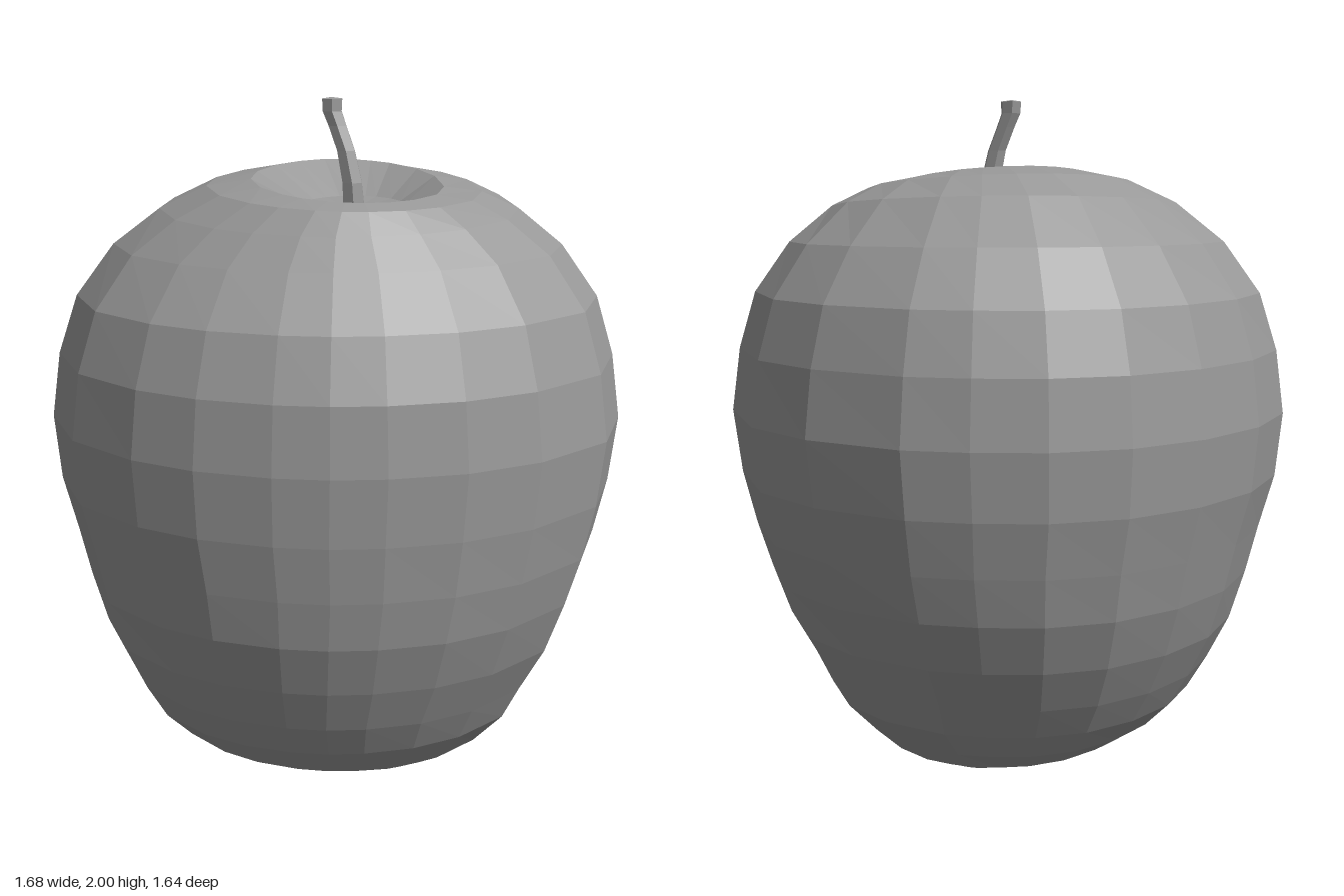
import * as THREE from 'three';

// Plan outline of the fruit at its widest, as fractions of the half width, clockwise from the back
const PLAN = [
  [0, -1], [0.24, -0.965], [0.45, -0.89], [0.74, -0.64], [0.92, -0.34], [1, 0.13],
  [0.91, 0.5], [0.67, 0.77], [0.43, 0.915], [0.18, 0.985], [0, 1], [-0.18, 0.98],
  [-0.43, 0.9], [-0.64, 0.77], [-0.87, 0.52], [-1, 0.15], [-0.955, -0.21],
  [-0.78, -0.54], [-0.54, -0.79], [-0.27, -0.95],
];
const HEX = Array.from({ length: 6 }, (_, i) => {
  const a = (i / 6) * Math.PI * 2;
  return [Math.sin(a), -Math.cos(a)];
});

// Rings from bottom to top: [y, xMin, xMax, zBack, zFront, rise per x, rise per z]
const BODY = [
  [0.09, -0.14, 0.15, -0.14, 0.15, -0.08, 0],
  [0.035, -0.26, 0.27, -0.24, 0.28, -0.13, 0.03],
  [0.07, -0.4, 0.38, -0.37, 0.42, -0.06, 0],
  [0.12, -0.49, 0.46, -0.43, 0.53, -0.02, 0],
  [0.2, -0.57, 0.55, -0.5, 0.59, 0, 0],
  [0.3, -0.63, 0.6, -0.57, 0.65, 0, 0],
  [0.43, -0.695, 0.675, -0.65, 0.71, 0, 0],
  [0.58, -0.74, 0.73, -0.72, 0.765, 0, 0],
  [0.72, -0.775, 0.775, -0.76, 0.79, 0, 0],
  [0.88, -0.82, 0.815, -0.8, 0.81, 0, 0],
  [1.07, -0.84, 0.84, -0.82, 0.82, 0, 0],
  [1.26, -0.815, 0.815, -0.805, 0.805, 0, 0],
  [1.43, -0.76, 0.765, -0.755, 0.745, 0, 0],
  [1.58, -0.65, 0.66, -0.63, 0.62, 0, -0.01],
  [1.69, -0.51, 0.53, -0.48, 0.55, 0, -0.06],
  [1.75, -0.37, 0.42, -0.34, 0.5, -0.02, -0.07],
  [1.77, -0.24, 0.31, -0.19, 0.44, -0.04, -0.1],
  [1.7, -0.1, 0.2, -0.03, 0.26, 0, -0.05],
];

// Stem stations from bottom to top: [x, y, z, radius]
const STEM = [
  [0.055, 1.66, 0.11, 0.036], [0.048, 1.76, 0.11, 0.032], [0.03, 1.85, 0.1, 0.029],
  [0.005, 1.92, 0.085, 0.029], [-0.01, 1.96, 0.078, 0.031], [-0.01, 1.995, 0.076, 0.033],
];

// Skin a stack of rings and close both ends at a centre point
function loft(rings, bottom, top) {
  const n = rings[0].length;
  const points = [...rings.flat(), bottom, top];
  const lo = points.length - 2, hi = points.length - 1, last = (rings.length - 1) * n;
  const index = [];
  for (let j = 0; j < n; j++) {
    const k = (j + 1) % n;
    for (let i = 0; i < rings.length - 1; i++) {
      const a = i * n + j, b = i * n + k;
      index.push(a, a + n, b + n, a, b + n, b);
    }
    index.push(lo, j, k, hi, last + k, last + j);
  }
  const g = new THREE.BufferGeometry();
  g.setAttribute('position', new THREE.Float32BufferAttribute(points.flat(), 3));
  g.setIndex(index);
  g.computeVertexNormals();
  return g;
}

export function createModel() {
  const group = new THREE.Group();
  group.name = 'apple';
  const grey = new THREE.MeshStandardMaterial({ color: 0x999999, flatShading: true });
  grey.name = 'grey';

  // Fruit with a dimple at each end
  const bodyRings = BODY.map(([y, x0, x1, z0, z1, riseX, riseZ]) => PLAN.map(([px, pz]) => {
    const dx = px * (x1 - x0) / 2, dz = pz * (z1 - z0) / 2;
    return [(x0 + x1) / 2 + dx, y + riseX * dx + riseZ * dz, (z0 + z1) / 2 + dz];
  }));
  const fruit = new THREE.Mesh(loft(bodyRings, [0.01, 0.11, 0], [0.05, 1.68, 0.11]), grey);
  fruit.name = 'fruit';

  // Bent six-sided stem
  const stemRings = STEM.map(([x, y, z, r]) => HEX.map(([hx, hz]) => [x + hx * r, y, z + hz * r]));
  const stem = new THREE.Mesh(loft(stemRings, [0.055, 1.66, 0.11], [-0.012, 2, 0.076]), grey);
  stem.name = 'stem';

  group.add(fruit, stem);
  return group;
}
